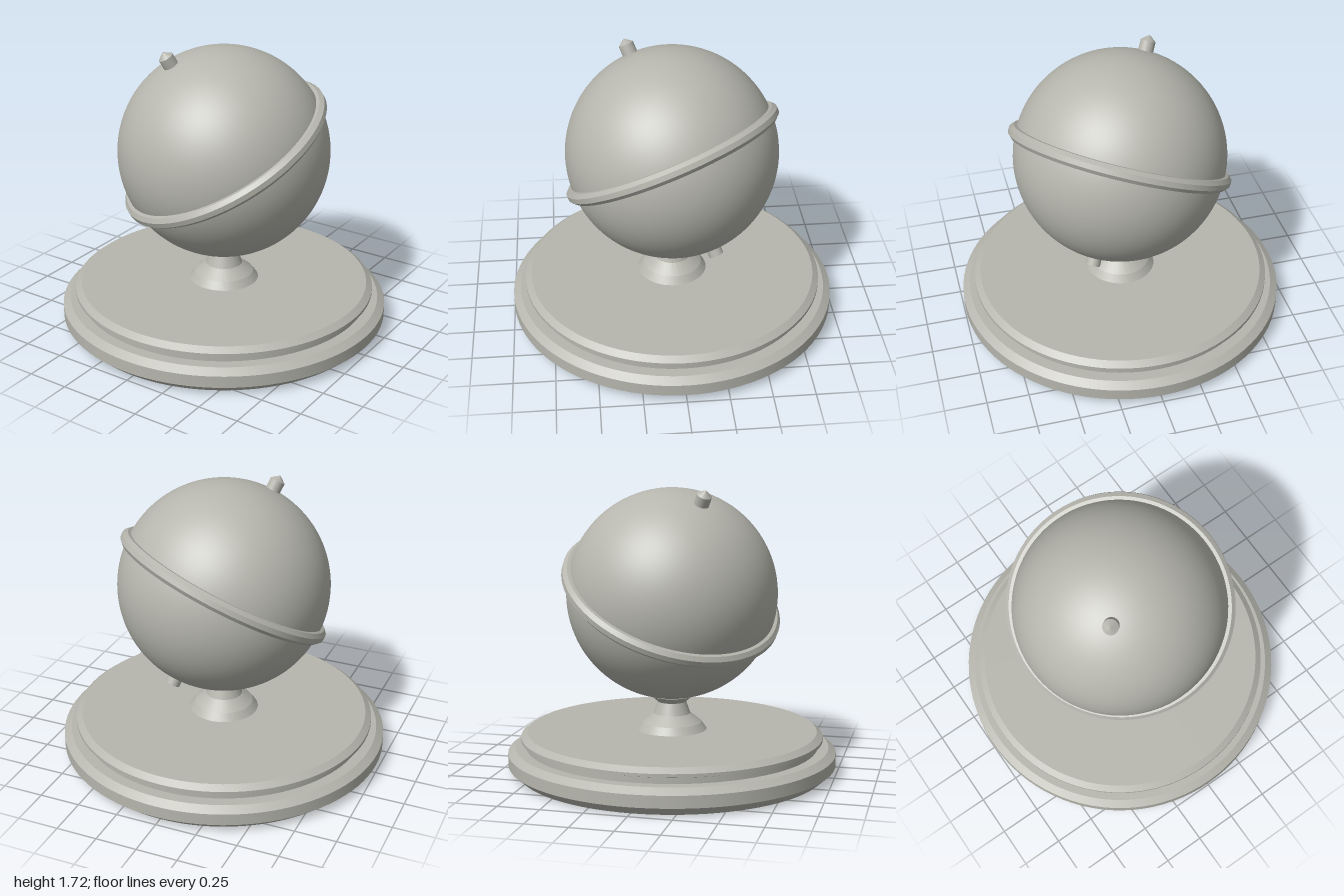
import * as THREE from 'three';
import { toCreasedNormals } from 'three/addons/utils/BufferGeometryUtils.js';

export function createModel() {
  const model = new THREE.Group();
  model.name = 'tiltedGlobe';
  const stone = new THREE.MeshStandardMaterial({ color: 0xb6b6ae });
  stone.name = 'warm grey';

  // Turned part from [radius, height] pairs listed bottom to top, with crisp edges
  const turned = (name, profile, parent, segments = 96) => {
    const points = profile.map(([r, y]) => new THREE.Vector2(r, y));
    const geometry = toCreasedNormals(new THREE.LatheGeometry(points, segments), segments < 50 ? 0.4 : 0.2);
    const mesh = new THREE.Mesh(geometry, stone);
    mesh.name = name;
    parent.add(mesh);
    return mesh;
  };

  // Stepped round base
  turned('basePlinth', [[0, 0], [0.94, 0], [1, 0.053], [1, 0.125], [0.955, 0.158], [0, 0.158]], model);
  turned('baseNeck', [[0.89, 0.15], [0.89, 0.2]], model);
  turned('baseTop', [[0, 0.195], [0.895, 0.195], [0.92, 0.203], [0.92, 0.222], [0.883, 0.25], [0, 0.25]], model);

  // Stem flaring out under the globe
  turned('stem', [[0.212, 0.25], [0.18, 0.294], [0.112, 0.348], [0.086, 0.42], [0.128, 0.457], [0, 0.47]], model);

  // Globe group whose y axis is the tilted rotation axis
  const globe = new THREE.Group();
  globe.name = 'globe';
  globe.position.y = 1.083;
  const axis = new THREE.Vector3(-0.34, 0.87, 0.36).normalize();
  globe.quaternion.setFromUnitVectors(new THREE.Vector3(0, 1, 0), axis);
  model.add(globe);

  const ball = new THREE.Mesh(new THREE.SphereGeometry(0.636, 96, 64), stone);
  ball.name = 'ball';
  globe.add(ball);

  // Equator ring with an octagonal section
  const section = [];
  for (let i = 0; i <= 8; i++) {
    const a = (i - 0.5) * Math.PI / 4;
    section.push([0.64 + 0.041 * Math.cos(a), 0.041 * Math.sin(a)]);
  }
  turned('equatorRing', section, globe);

  // Axis pins: pointed at the top, flat at the bottom
  turned('topPin', [[0.045, 0.6], [0.045, 0.695], [0, 0.73]], globe, 24);
  turned('bottomPin', [[0, -0.692], [0.045, -0.692], [0.045, -0.6]], globe, 24);

  return model;
}
